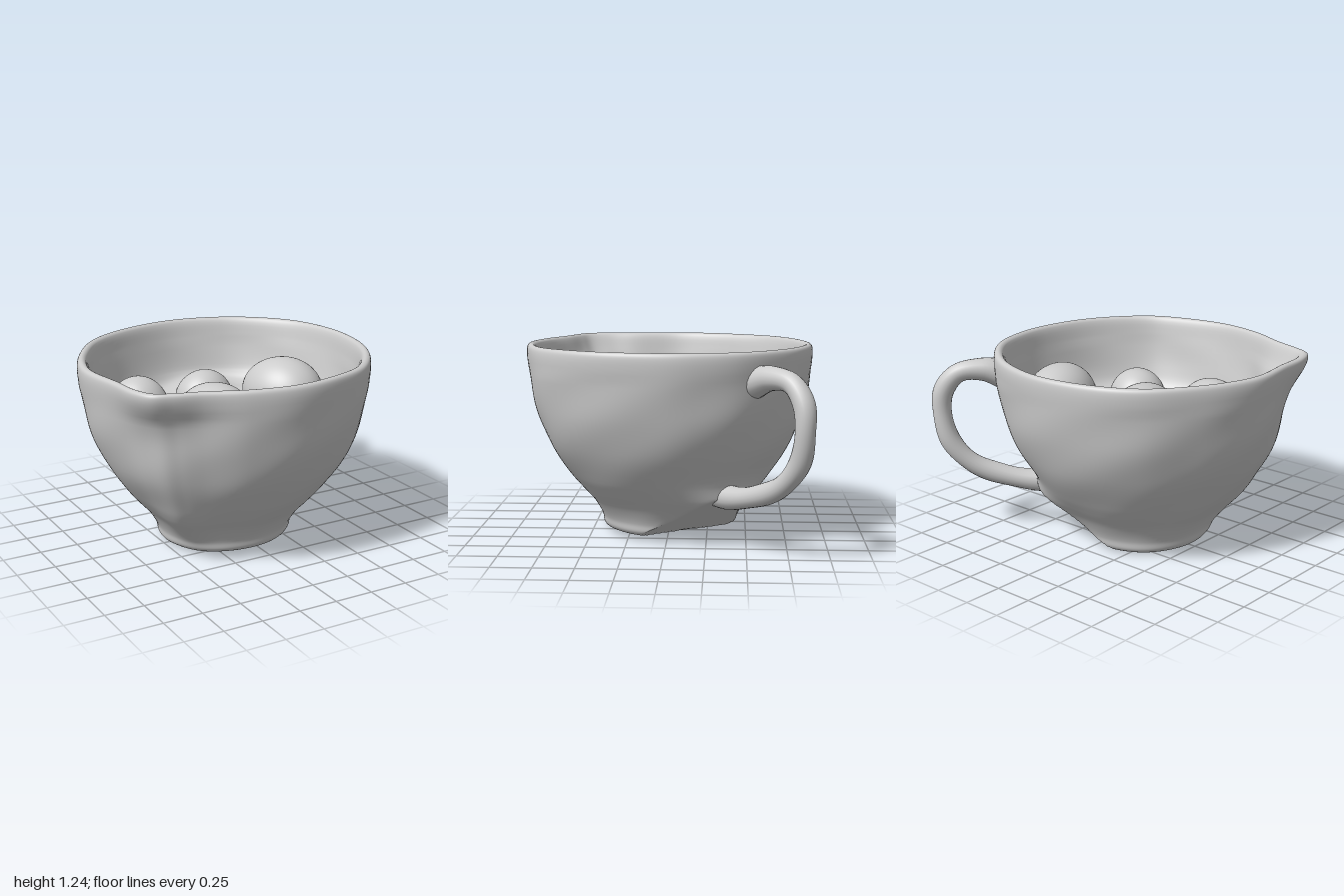
import * as THREE from 'three';

const material = new THREE.MeshStandardMaterial({ color: 0xcccccc, roughness: 0.8 });
const CX = -0.06; // centre axis of the bowl
const bell = (d, width) => Math.exp(-((d / width) ** 2));

// Rim seen from above (x, z), with a pinched spout at front left
const rim = new THREE.CatmullRomCurve3([
  [-1, 0], [-0.965, 0.3], [-0.945, 0.51], [-0.885, 0.645], [-0.77, 0.7], [-0.6, 0.755],
  [-0.35, 0.865], [-0.05, 0.918], [0.28, 0.86], [0.5, 0.765], [0.7, 0.54], [0.82, 0.29],
  [0.87, 0], [0.85, -0.22], [0.77, -0.46], [0.61, -0.66], [0.38, -0.82], [0, -0.92],
  [-0.38, -0.855], [-0.67, -0.69], [-0.87, -0.42], [-0.965, -0.2],
].map(([x, z]) => new THREE.Vector3(x, 0, z)), true);

// Section: height, blend from base circle to rim outline, scale toward the axis
const section = new THREE.CatmullRomCurve3([
  [0.015, 0, 0], [0.015, 0, 0.5], [0.02, 0, 0.92], [0.05, 0, 1], [0.1, 0.02, 1],
  [0.2, 0.13, 1], [0.3, 0.3, 1], [0.4, 0.46, 1], [0.6, 0.72, 1], [0.8, 0.88, 1],
  [1, 0.96, 1], [1.18, 1, 1], [1.225, 1, 0.99], [1.235, 1, 0.965], [1.22, 1, 0.94],
  [1.1, 0.97, 0.925], [0.9, 0.9, 0.915], [0.78, 0.86, 0.89], [0.71, 0.82, 0.84],
  [0.66, 0.8, 0.75], [0.64, 0.8, 0.61], [0.63, 0.8, 0.45], [0.63, 0.8, 0.28],
  [0.63, 0.8, 0.13], [0.63, 0.8, 0],
].map((p) => new THREE.Vector3(...p)));

// Eggs: centre x, y, z, then radii x, y, z, then turn about y
const eggs = [
  [-0.09, 0.78, -0.05, 0.22, 0.23, 0.3, 0.2],
  [-0.42, 0.75, -0.5, 0.21, 0.24, 0.21, -0.6],
  [0.09, 0.74, -0.55, 0.2, 0.21, 0.2, 0.4],
  [0.5, 0.83, -0.19, 0.23, 0.24, 0.3, 0.35],
  [0.26, 0.78, 0.31, 0.2, 0.2, 0.18, 0],
  [-0.27, 0.76, 0.45, 0.28, 0.21, 0.19, -0.35],
  [-0.6, 0.72, 0.06, 0.18, 0.19, 0.22, 0.2],
];

function makeBowl() {
  const around = 132, rows = 130;
  const pos = [], index = [];
  const outline = rim.getPoints(around);
  for (let j = 0; j <= rows; j++) {
    const p = section.getPoint(j / rows);
    for (let i = 0; i < around; i++) {
      const o = outline[i];
      const a = Math.atan2(o.z, o.x - CX);
      // Hand-formed unevenness of the wall
      const wall = 1 + 0.007 * Math.sin(5 * a + 6 * p.x) * Math.sin(9 * p.x + 2 * a) * (p.x < 1.1 ? 1 : 0.4);
      const s = p.z * wall;
      // The wall runs straight from spout to base, and swells toward the foot of the handle
      const spout = 0.08 * bell(p.x - 0.23, 0.17)
        - 0.16 * bell(p.x - 0.9, 0.33) * Math.min(1, Math.max(0, 1.24 - p.x) * 5);
      const blend = p.y + spout * bell(a - 2.47, 0.32)
        + 0.24 * bell(a + 0.66, 0.42) * bell(p.x - 0.25, 0.13);
      const x = CX + s * THREE.MathUtils.lerp(0.435 * Math.cos(a), o.x - CX, blend);
      const z = s * THREE.MathUtils.lerp(0.43 * Math.sin(a), o.z, blend);
      let y = p.x + Math.max(0, 0.4 - p.x) * 0.06 * (x + z + 0.2);
      y += 0.024 * x * Math.max(0, p.x - 0.9);
      // Flat facet sloping up from the base to the handle
      y = Math.max(y, 0.02 + 0.6 * (0.8 * x - 0.6 * z - 0.13));
      // The filling swells around each egg and rises toward the back and the handle side
      if (j > rows * 0.6 && p.x < 0.9) {
        let swell = 0;
        for (const e of eggs) swell += bell(Math.hypot(x - e[0], z - e[2]), 0.25);
        y += (0.15 * Math.min(swell, 1.3) + 0.09 * x - 0.06 * z) * Math.min(1, (0.9 - p.x) / 0.23);
      }
      pos.push(x, Math.max(0, y), z);
    }
  }
  for (let j = 0; j < rows; j++) for (let i = 0; i < around; i++) {
    const a = j * around + i, b = j * around + (i + 1) % around;
    index.push(a, b, b + around, a, b + around, a + around);
  }
  const g = new THREE.BufferGeometry();
  g.setAttribute('position', new THREE.Float32BufferAttribute(pos, 3));
  g.setIndex(index);
  g.computeVertexNormals();
  return g;
}

// Round handle that thickens where it joins the bowl
function makeHandle() {
  const path = new THREE.CatmullRomCurve3([
    [0.655, 1.06, -0.545], [0.74, 1.09, -0.635], [0.85, 1.07, -0.75], [0.92, 0.96, -0.815],
    [0.935, 0.82, -0.825], [0.895, 0.62, -0.8], [0.8, 0.46, -0.7], [0.66, 0.37, -0.55],
    [0.5, 0.33, -0.39], [0.36, 0.36, -0.25],
  ].map((p) => new THREE.Vector3(...p)));
  const rings = 72, sides = 20;
  const g = new THREE.TubeGeometry(path, rings, 1, sides);
  const pos = g.attributes.position, v = new THREE.Vector3();
  for (let j = 0; j <= rings; j++) {
    const t = j / rings, c = path.getPointAt(t);
    const r = 0.063 + 0.037 * Math.exp(-t * 18) + 0.035 * Math.exp((t - 1) * 9)
      + 0.003 * Math.sin(t * 30);
    for (let i = 0; i <= sides; i++) {
      const n = j * (sides + 1) + i;
      v.fromBufferAttribute(pos, n).sub(c).multiplyScalar(r).add(c);
      pos.setXYZ(n, v.x, v.y, v.z);
    }
  }
  return g;
}

// Upper part of an ellipsoid, one end slightly narrower; the rest lies in the filling
function makeEgg() {
  const g = new THREE.SphereGeometry(1, 40, 24, 0, Math.PI * 2, 0, Math.PI * 0.62);
  const pos = g.attributes.position;
  for (let i = 0; i < pos.count; i++) {
    const k = 1 + 0.1 * pos.getZ(i);
    pos.setXY(i, pos.getX(i) * k, pos.getY(i) * k);
  }
  return g;
}

export function createModel() {
  const model = new THREE.Group();
  model.name = 'bowlOfEggs';
  const add = (geometry, name) => {
    const mesh = new THREE.Mesh(geometry, material);
    mesh.name = name;
    model.add(mesh);
    return mesh;
  };
  add(makeBowl(), 'bowl');
  add(makeHandle(), 'handle');
  const eggGeometry = makeEgg();
  eggs.forEach(([x, y, z, rx, ry, rz, turn], i) => {
    const egg = add(eggGeometry, `egg${i + 1}`);
    egg.position.set(x, y, z);
    egg.scale.set(rx, ry, rz);
    egg.rotation.y = turn;
  });
  return model;
}
